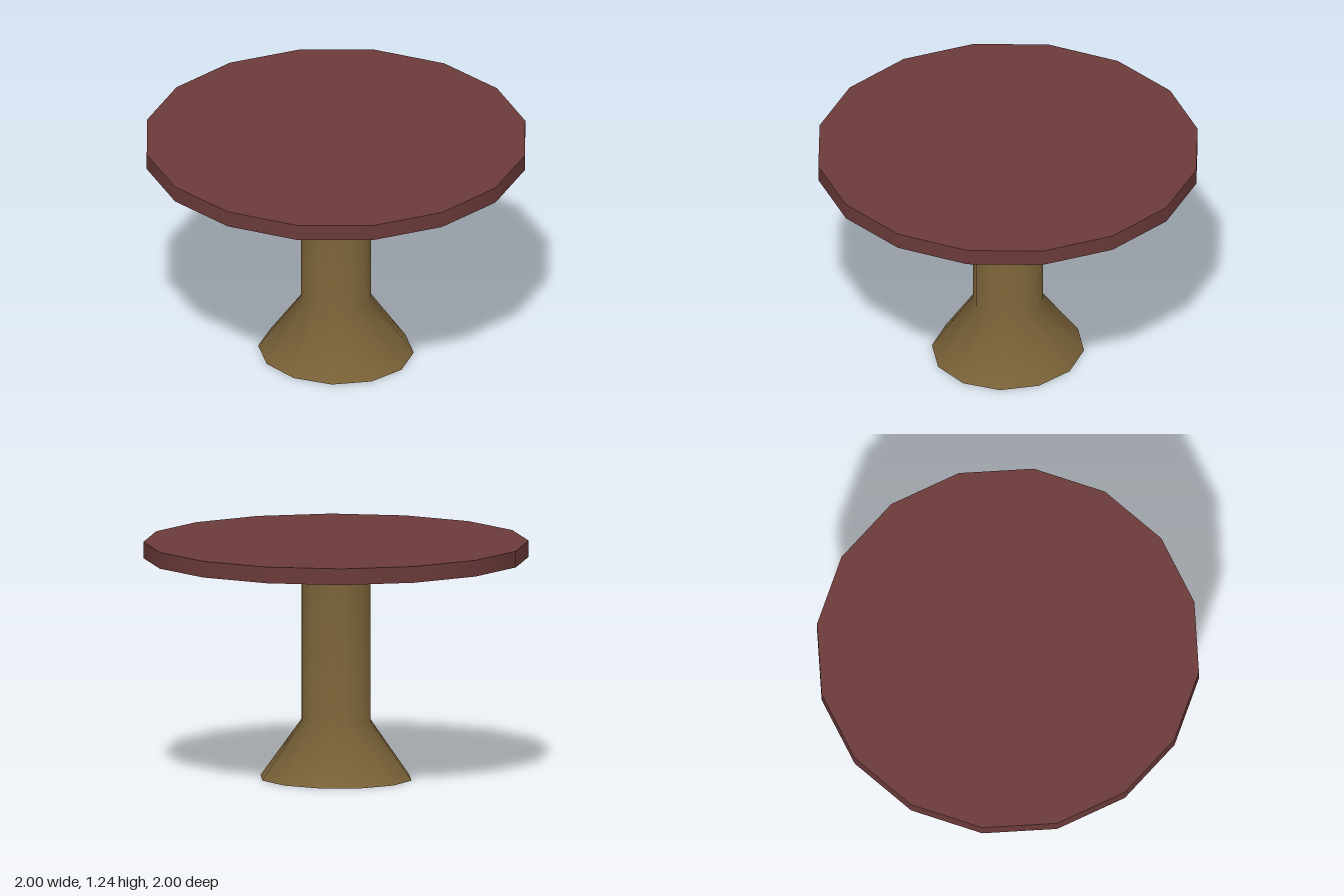
import * as THREE from 'three';

const SIDES = 12;
const FOOT = { x: 0.41, z: 0.39 };

export function createModel() {
  const model = new THREE.Group();
  model.name = 'pedestalTable';
  const topMaterial = new THREE.MeshStandardMaterial({ color: 0x6b3a3a });
  const baseMaterial = new THREE.MeshStandardMaterial({ color: 0x7a6238 });

  const add = (name, geometry, material, parent = model) => {
    const mesh = new THREE.Mesh(geometry, material);
    mesh.name = name;
    parent.add(mesh);
    return mesh;
  };

  // Sixteen-sided round top
  add('tableTop', new THREE.CylinderGeometry(1, 1, 0.085, 16), topMaterial).position.y = 1.1975;

  const pedestal = new THREE.Group();
  pedestal.name = 'pedestal';
  model.add(pedestal);

  // Straight column flaring smoothly into the foot
  const profile = [[FOOT.x, 0], [0.183, 0.305], [0.183, 1.16]].map(([r, y]) => new THREE.Vector2(r, y));
  const column = new THREE.LatheGeometry(profile, SIDES);

  // The foot is slightly narrower from front to back
  const pos = column.attributes.position;
  for (let i = 0; i < pos.count; i++) {
    if (pos.getY(i) < 0.01) pos.setZ(i, pos.getZ(i) * FOOT.z / FOOT.x);
  }
  add('columnAndFoot', column, baseMaterial, pedestal);

  // Flat underside closing the foot
  const underside = new THREE.CircleGeometry(FOOT.x, SIDES);
  underside.rotateX(Math.PI / 2);
  underside.scale(1, 1, FOOT.z / FOOT.x);
  add('footUnderside', underside, baseMaterial, pedestal);

  return model;
}
